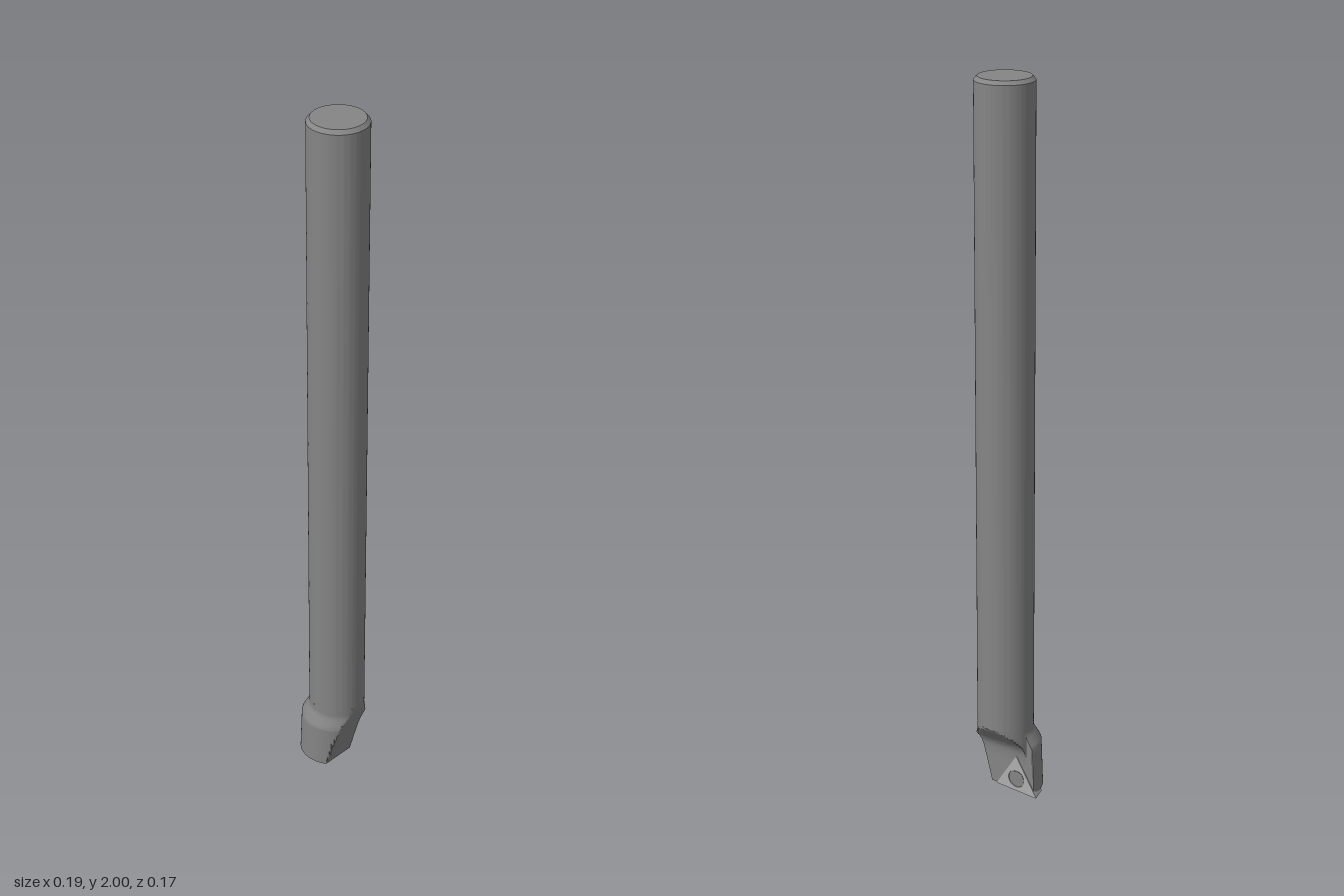
import * as THREE from 'three';
import { toCreasedNormals } from 'three/addons/utils/BufferGeometryUtils.js';

const steel = new THREE.MeshStandardMaterial({ color: 0x858585 });
const carbide = new THREE.MeshStandardMaterial({ color: 0xb0b0b0 });
const NECK = 0.21; // height where the head meets the shank
const AXIS = { x: 0.017, z: -0.01, r: 0.078 };
const RAKE = 0.16; // tilt of the flat carrying the insert

function add(parent, name, geometry, material = steel) {
  const mesh = new THREE.Mesh(geometry, material);
  mesh.name = name;
  parent.add(mesh);
  return mesh;
}

// Piecewise linear lookup through [y, value] pairs
function lerpTable(table, y) {
  for (let i = 1; i < table.length; i++) {
    const [y0, v0] = table[i - 1], [y1, v1] = table[i];
    if (y <= y1) return v0 + (v1 - v0) * (y - y0) / (y1 - y0);
  }
  return table[table.length - 1][1];
}

const centreX = [[0, 0.004], [0.14, 0.01], [0.19, AXIS.x], [NECK, AXIS.x]];
const centreZ = [[0, -0.006], [0.15, -0.006], [0.19, AXIS.z], [NECK, AXIS.z]];
const radius = [[0, 0.092], [0.145, 0.092], [0.185, AXIS.r], [NECK, AXIS.r]];
const backZ = [[0, -0.032], [0.11, -0.033], [0.13, -0.036], [0.145, -0.043],
  [0.16, -0.054], [NECK, -0.096]];

// Distance along a ray from the origin to a circle around (cx, cz)
function rayToCircle(dx, dz, cx, cz, r) {
  const b = dx * cx + dz * cz;
  return b + Math.sqrt(b * b - cx * cx - cz * cz + r * r);
}

// Head: round sections cut by a slanted side flat and a scooped back flat
function headGeometry() {
  const levels = [0, 0.03, 0.06, 0.09, 0.11, 0.12, 0.13, 0.138, 0.145, 0.152, 0.16,
    0.168, 0.176, 0.185, 0.192, 0.2, NECK];
  const N = 240, ox = 0.005, oz = 0.02;
  const pos = [], idx = [];
  const bottom = (x, z) => 0.01 + 0.04 * x + 0.08 * (z + 0.03);
  // Offset of a raked plane from the ray origin, given its z at x = 0.05
  const offset = (z) => z + RAKE * (0.05 - ox) - oz;
  for (const y of levels) {
    const cx = lerpTable(centreX, y) - ox, cz = lerpTable(centreZ, y) - oz;
    const side = 0.05 + 0.225 * y;
    const scoop = offset(lerpTable(backZ, y));
    for (let i = 0; i < N; i++) {
      const a = i / N * Math.PI * 2, dx = Math.cos(a), dz = Math.sin(a);
      let t = rayToCircle(dx, dz, cx, cz, lerpTable(radius, y));
      if (dx > 0) t = Math.min(t, (side - ox) / dx);
      const toBack = dz + RAKE * dx;
      if (toBack < 0) {
        // Behind the insert flat the head is no wider than the shank
        const shank = rayToCircle(dx, dz, AXIS.x - ox, AXIS.z - oz, AXIS.r);
        if (dx < 0) t = Math.min(t, Math.max(shank, offset(backZ[0][1]) / toBack));
        t = Math.min(t, scoop / toBack);
      }
      const x = ox + dx * t, z = oz + dz * t;
      pos.push(x, y + bottom(x, z) * (1 - y / NECK), z);
    }
  }
  for (let k = 0; k < levels.length - 1; k++) {
    for (let i = 0; i < N; i++) {
      const j = (i + 1) % N, a = k * N + i, b = k * N + j;
      idx.push(a, a + N, b + N, a, b + N, b);
    }
  }
  const c = pos.length / 3;
  pos.push(ox, bottom(ox, oz), oz);
  for (let i = 0; i < N; i++) idx.push(c, i, (i + 1) % N);
  const g = new THREE.BufferGeometry();
  g.setAttribute('position', new THREE.Float32BufferAttribute(pos, 3));
  g.setIndex(idx);
  return toCreasedNormals(g, 0.45);
}

// Triangular insert: bored, with sides tapering in behind the cutting face
function insertGeometry(corners, centre, bore) {
  const shape = new THREE.Shape();
  corners.forEach((p, i) => {
    const prev = corners[(i + 2) % 3], next = corners[(i + 1) % 3];
    const from = p.clone().lerp(prev, 0.03), to = p.clone().lerp(next, 0.03);
    if (i === 0) shape.moveTo(from.x, from.y);
    else shape.lineTo(from.x, from.y);
    shape.quadraticCurveTo(p.x, p.y, to.x, to.y);
  });
  shape.closePath();
  shape.holes.push(new THREE.Path().absarc(centre.x, centre.y, bore, 0, Math.PI * 2, true));
  const depth = 0.04;
  const g = new THREE.ExtrudeGeometry(shape, { depth, bevelEnabled: false, curveSegments: 16 });
  const p = g.attributes.position;
  for (let i = 0; i < p.count; i++) {
    const s = 1 - 0.1 * p.getZ(i) / depth;
    p.setXY(i, centre.x + (p.getX(i) - centre.x) * s, centre.y + (p.getY(i) - centre.y) * s);
  }
  return toCreasedNormals(g, 0.5);
}

export function createModel() {
  const model = new THREE.Group();
  model.name = 'boringBar';

  // Shank with chamfered end
  const profile = [[AXIS.r, NECK], [AXIS.r, 1.99], [AXIS.r - 0.009, 2], [0, 2]]
    .map(([x, y]) => new THREE.Vector2(x, y));
  const shank = add(model, 'shank', toCreasedNormals(new THREE.LatheGeometry(profile, 80), 0.5));
  shank.position.set(AXIS.x, 0, AXIS.z);

  add(model, 'head', headGeometry());

  // Cutting insert and its clamping screw, lying on the raked flat
  const tip = new THREE.Group();
  tip.name = 'cuttingTip';
  tip.position.set(-0.099, 0, -0.011);
  tip.rotation.y = RAKE;
  model.add(tip);
  const corners = [[0, 0], [0.132, 0.01], [0.067, 0.114]].map(([x, y]) => new THREE.Vector2(x, y));
  const centre = new THREE.Vector2(0.066, 0.043);
  add(tip, 'insert', insertGeometry(corners, centre, 0.026), carbide);
  const screw = add(tip, 'clampScrew', new THREE.CylinderGeometry(0.022, 0.022, 0.02, 32));
  screw.rotation.x = Math.PI / 2;
  screw.position.set(centre.x, centre.y, 0.0115);

  return model;
}
